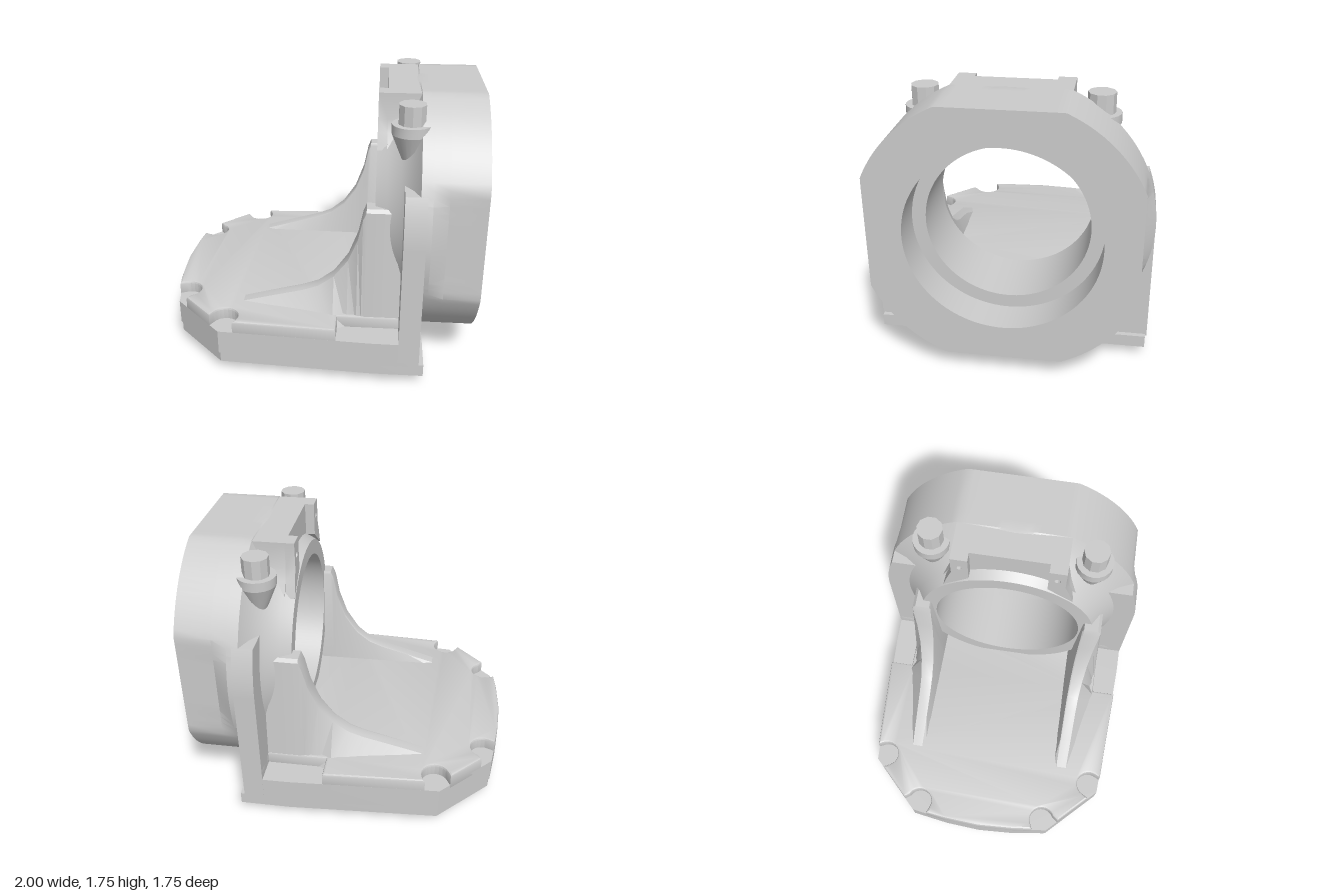
import * as THREE from 'three';
import { toCreasedNormals } from 'three/addons/utils/BufferGeometryUtils.js';

const material = new THREE.MeshStandardMaterial({ color: 0xcccccc });
const AXIS_Y = 0.95; // height of the bore axis

function addMesh(group, name, geometry, crease = 0.45) {
  const mesh = new THREE.Mesh(toCreasedNormals(geometry, crease), material);
  mesh.name = name;
  group.add(mesh);
  return mesh;
}

// Skin through equal-length closed rings; either capped or joined end to start
function loft(rings, joined = false) {
  const n = rings[0].length, count = rings.length, index = [];
  for (let i = 0; i < (joined ? count : count - 1); i++) {
    const next = (i + 1) % count;
    for (let j = 0; j < n; j++) {
      const k = (j + 1) % n;
      const a = i * n + j, b = i * n + k, c = next * n + j, d = next * n + k;
      index.push(a, c, b, b, c, d);
    }
  }
  if (!joined) {
    const last = (count - 1) * n;
    for (let k = 1; k < n - 1; k++) index.push(0, k, k + 1, last, last + k + 1, last + k);
  }
  const g = new THREE.BufferGeometry();
  g.setAttribute('position', new THREE.Float32BufferAttribute(rings.flat(2), 3));
  g.setIndex(index);
  return g;
}

// Ring around the bore axis, optionally cut by flats at the sides and top/bottom
function boreRing(x, r, flatZ = 9, flatY = 0.8) {
  return Array.from({ length: 120 }, (_, i) => {
    const a = (i / 120) * Math.PI * 2, c = Math.cos(a), s = Math.sin(a);
    const q = Math.min(r, flatZ / Math.max(Math.abs(c), 1e-6), flatY / Math.max(Math.abs(s), 1e-6));
    return [x, AXIS_Y + q * s, q * c];
  });
}

// Symmetric horizontal plate from the outline of one half (x, z)
function plate(half, y0, y1, bevel = 0, hole = null) {
  const mirrored = half.filter(p => p[1] > 0).map(([x, z]) => [x, -z]).reverse();
  const shape = new THREE.Shape([...half, ...mirrored].map(p => new THREE.Vector2(...p)));
  if (hole) shape.holes.push(new THREE.Path().absarc(hole.x, 0, hole.r, 0, Math.PI * 2, true));
  const g = new THREE.ExtrudeGeometry(shape, {
    depth: y1 - y0 - 2 * bevel, curveSegments: 24, bevelEnabled: bevel > 0,
    bevelThickness: bevel, bevelSize: bevel, bevelOffset: -bevel, bevelSegments: 2,
  });
  return g.rotateX(-Math.PI / 2).translate(0, y0 + bevel, 0);
}

// Rounded inside of a bolt notch that opens towards the given direction
function notch(x, z, direction, r = 0.086) {
  return Array.from({ length: 11 }, (_, i) => {
    const a = direction - Math.PI / 2 - (i / 10) * Math.PI;
    return [x + r * Math.cos(a), z + r * Math.sin(a)];
  });
}

// Extrusion of a (z, y) shape along x
function alongX(shape, x0, x1) {
  return new THREE.ExtrudeGeometry(shape, { depth: x1 - x0, bevelEnabled: false, curveSegments: 24 })
    .rotateY(Math.PI / 2).translate(x0, 0, 0);
}

export function createModel() {
  const model = new THREE.Group();
  model.name = 'bearingBracket';

  // Base plate: recessed sole, solid middle, notched top
  const nose = [[-0.62, 0.82], [-0.95, 0.49], [-0.985, 0.25], [-1, 0]];
  const soleNose = nose.map(([x, z]) => [x + 0.008, z * 0.99]);
  const recess = { x: -0.145, r: 0.73 };
  addMesh(model, 'baseSole', plate(
    [[0.64, 0.4], [0.68, 0.44], [0.68, 0.865], [0.35, 0.865], ...soleNose], 0.07, 0.15, 0, recess));
  addMesh(model, 'basePlate', plate([[0.65, 0.875], [0.35, 0.872], ...nose], 0.14, 0.3));
  addMesh(model, 'baseTop', plate([
    [0.6, 0.86], [0.52, 0.86], [0.52, 0.7], [0.13, 0.7], [0.13, 0.86],
    [-0.525, 0.825], ...notch(-0.585, 0.75, 1.95), [-0.685, 0.755],
    [-0.88, 0.56], ...notch(-0.89, 0.445, 2.7), [-0.968, 0.385],
    [-0.985, 0.25], [-1, 0],
  ], 0.26, 0.38, 0.015));

  // Sloping wall of the sole recess and the central locating disc
  const wall = addMesh(model, 'recessWall', new THREE.LatheGeometry(
    [new THREE.Vector2(0.73, 0.07), new THREE.Vector2(0.66, 0.141)], 48));
  wall.material = material.clone();
  wall.material.side = THREE.DoubleSide;
  wall.position.x = recess.x;
  const disc = addMesh(model, 'locatingDisc', new THREE.CylinderGeometry(0.49, 0.49, 0.16, 32));
  disc.position.set(recess.x, 0.08, 0);

  // Bearing housing: flared back, flattened front collar, stepped bore
  addMesh(model, 'bearingHousing', loft([
    boreRing(0.35, 0.5), boreRing(0.35, 0.6), boreRing(0.42, 0.64), boreRing(0.5, 0.7),
    boreRing(0.57, 0.79), boreRing(0.61, 0.875), boreRing(0.68, 0.875),
    boreRing(0.775, 0.875, 0.8), boreRing(1, 0.875, 0.8),
    boreRing(1, 0.585), boreRing(0.775, 0.585), boreRing(0.775, 0.5),
  ], true));

  // Upright wall that carries the housing
  const upright = new THREE.Shape();
  upright.moveTo(-0.875, 0.17).lineTo(0.875, 0.17).lineTo(0.875, AXIS_Y);
  upright.absarc(0, AXIS_Y, 0.875, 0, 0.374, false);
  upright.absarc(0, AXIS_Y, 0.6, 0.563, Math.PI - 0.563, true);
  upright.absarc(0, AXIS_Y, 0.875, Math.PI - 0.374, Math.PI, false);
  addMesh(model, 'uprightWall', alongX(upright, 0.52, 0.65));

  // Top block with a flared foot
  const block = new THREE.Shape([
    [-0.44, 1.4], [-0.29, 1.495], [0, 1.53], [0.29, 1.495], [0.44, 1.4],
    [0.39, 1.5], [0.36, 1.58], [0.36, 1.745], [-0.36, 1.745], [-0.36, 1.58], [-0.39, 1.5],
  ].map(p => new THREE.Vector2(...p)));
  addMesh(model, 'topBlock', alongX(block, 0.41, 0.7));

  // Swept gusset profile: x position and ridge height
  const ridge = [[-0.5, 0.378], [-0.3, 0.435], [-0.1, 0.49], [0, 0.53], [0.1, 0.61], [0.19, 0.74],
    [0.25, 0.9], [0.28, 1.05], [0.3, 1.1], [0.44, 1.1], [0.53, 1.1]];
  const gussetRings = ridge.map(([x, y]) => {
    const t = (y - 0.378) / 0.722;
    const outer = x > 0.12 ? 0.7 : 0.64 + 0.1 * Math.min(1, t * 4);
    return [[x, 0.29, outer], [x, y - 0.02 * t, 0.57 + 0.08 * t], [x, y, 0.55 + 0.08 * t],
      [x, y, 0.51 + 0.025 * t], [x, y - 0.02 * t, 0.5 + 0.025 * t], [x, 0.35, 0.47]];
  });

  for (const side of [1, -1]) {
    const tag = side > 0 ? 'Front' : 'Back';
    addMesh(model, 'gusset' + tag, loft(gussetRings)).scale.z = side;

    // Lug at the end of the top slot, with a small drilled hole
    const lug = new THREE.Shape([[0.25, 1.53], [0.34, 1.46], [0.42, 1.4], [0.39, 1.5], [0.36, 1.58],
      [0.36, 1.745], [0.25, 1.745]].map(p => new THREE.Vector2(...p)));
    lug.holes.push(new THREE.Path().absarc(0.305, 1.65, 0.02, 0, Math.PI * 2, true));
    addMesh(model, 'slotLug' + tag, alongX(lug, 0.35, 0.41)).scale.z = -side;

    // Screw boss, its tapering foot and the screw head
    const bolt = new THREE.Group();
    bolt.name = 'capScrew' + tag;
    bolt.position.set(0.55, 0, 0.52 * side);
    addMesh(bolt, 'screwBoss', new THREE.CylinderGeometry(0.12, 0.12, 0.06, 20)).position.y = 1.58;
    addMesh(bolt, 'bossFoot', new THREE.CylinderGeometry(0.12, 0.05, 0.17, 20)).position.y = 1.466;
    addMesh(bolt, 'screwHead', new THREE.CylinderGeometry(0.083, 0.083, 0.14, 10)).position.y = 1.66;
    model.add(bolt);
  }
  return model;
}
